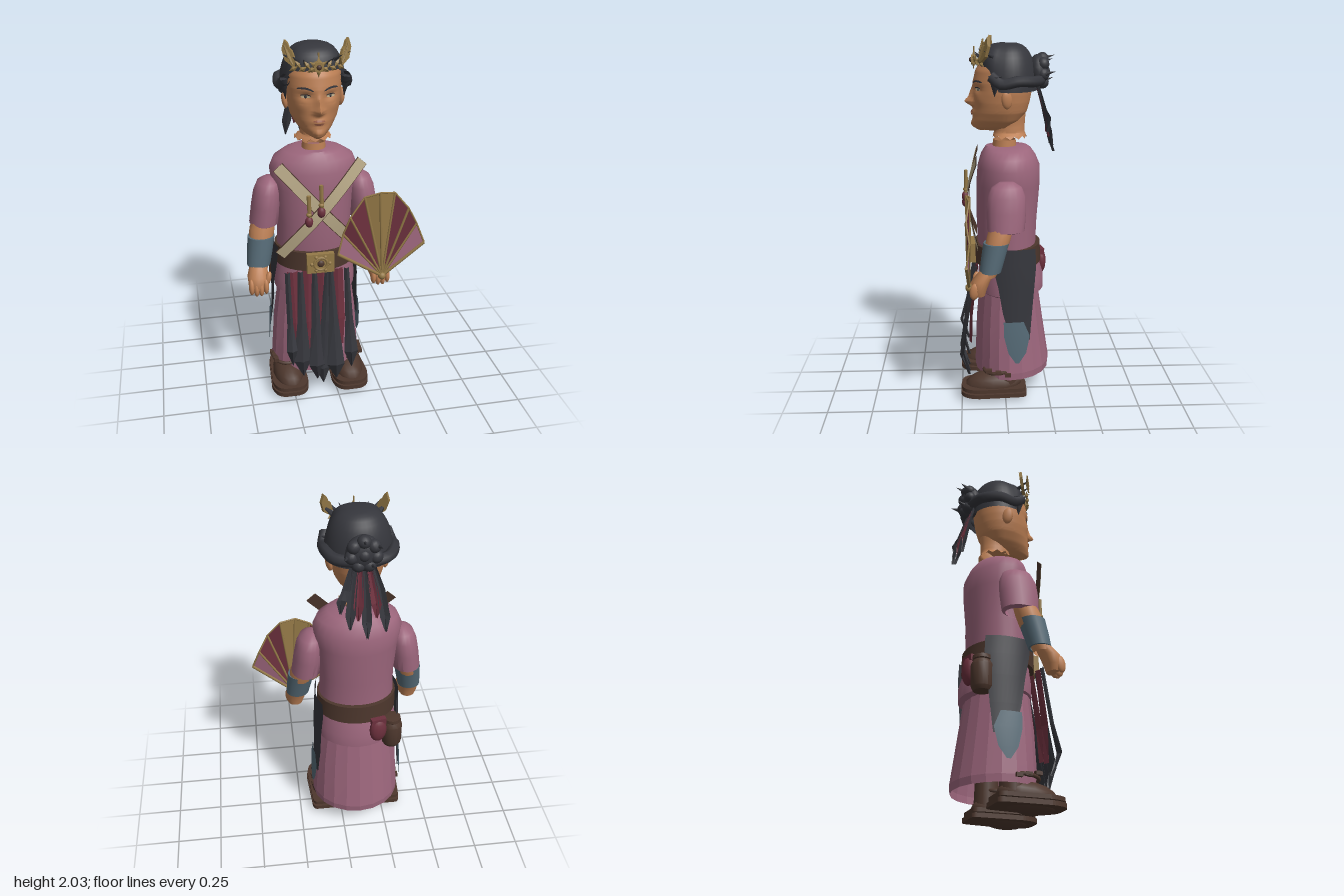
import * as THREE from 'three';
import { mergeVertices, toCreasedNormals } from 'three/addons/utils/BufferGeometryUtils.js';

const mat = (name, color) => Object.assign(new THREE.MeshStandardMaterial({ color, side: THREE.DoubleSide }), { name });
const lerp = THREE.MathUtils.lerp;

export function createModel() {
  const root = new THREE.Group();
  const body = new THREE.Group();
  body.name = 'body';
  body.position.x = -0.0925;
  root.add(body);
  const skin = mat('skin', 0xbd8055), lip = mat('lip', 0x9c5f49), dark = mat('charcoal', 0x35363c);
  const pink = mat('dustyPink', 0x9c667c), red = mat('wine', 0x6c303d), gold = mat('oldGold', 0x957a48);
  const brown = mat('leather', 0x4d372d), blue = mat('slateBlue', 0x566b77), cream = mat('cream', 0xb9aa88);

  const add = (name, geo, m, p = [0, 0, 0], r = [0, 0, 0], s = [1, 1, 1], parent = body) => {
    const o = new THREE.Mesh(geo, m);
    o.name = name;
    o.position.set(...p); o.rotation.set(...r); o.scale.set(...s);
    parent.add(o);
    return o;
  };
  // Grid surface from a function of (u, v); a small crease angle gives flat facets
  const surf = (fn, nu, nv, crease = 0.8) => {
    const pos = [], idx = [];
    for (let j = 0; j <= nv; j++) for (let i = 0; i <= nu; i++) pos.push(...fn(i / nu, j / nv));
    for (let j = 0; j < nv; j++) for (let i = 0; i < nu; i++) {
      const a = j * (nu + 1) + i, c = a + nu + 1;
      idx.push(a, a + 1, c + 1, a, c + 1, c);
    }
    const g = new THREE.BufferGeometry();
    g.setAttribute('position', new THREE.Float32BufferAttribute(pos, 3));
    g.setIndex(idx);
    return toCreasedNormals(mergeVertices(g, 1e-5), crease);
  };
  const rowAt = (rows, t) => {
    const f = Math.min(t * (rows.length - 1), rows.length - 1.0001), i = Math.floor(f);
    return rows[i].map((a, k) => lerp(a, rows[i + 1][k], f - i));
  };
  // Rings, bottom to top: [y, centreX, halfWidth, zFront, zBack, zCentre]
  const loft = (rows, n = 28, crease = 0.8) => surf((u, v) => {
    const [y, cx, rx, zf, zb, cz] = rowAt(rows, v), c = Math.cos(u * Math.PI * 2);
    return [cx + rx * Math.sin(u * Math.PI * 2), y, cz + c * (c > 0 ? zf - cz : cz - zb)];
  }, n, rows.length - 1, crease);
  const trunk = (rows, n, crease) => loft(rows.map(([y, rx, zf, zb]) => [y, 0, rx, zf, zb, -0.02]), n, crease);
  // Limb rings: [y, x, z, halfWidth, halfDepth]
  const limb = (rows, s) => loft(rows.map(([y, x, z, rx, rz]) => [y, s * x, rx, z + rz, z - rz, z]), 18, 0.9);
  // Creased cloth strip; rows bottom to top: [x, y, z, halfWidth]
  const strip = rows => surf((u, v) => {
    const [x, y, z, w] = rowAt(rows, v), k = u * 2 - 1;
    return [x + k * w, y, z - Math.abs(k) * 0.015];
  }, 2, rows.length - 1, 0.05);
  const rod = (name, a, b, r, m, parent = body) => {
    const A = new THREE.Vector3(...a), d = new THREE.Vector3(...b).sub(A);
    const o = add(name, new THREE.CylinderGeometry(r, r, d.length(), 6), m, A.clone().addScaledVector(d, 0.5).toArray(), [0, 0, 0], [1, 1, 1], parent);
    o.quaternion.setFromUnitVectors(new THREE.Vector3(0, 1, 0), d.normalize());
    return o;
  };
  const ball = new THREE.SphereGeometry(1, 14, 10), spike = new THREE.ConeGeometry(1, 1, 5);

  // Robe
  add('tunic', trunk([[0.74, 0.2, 0.13, -0.18], [0.87, 0.21, 0.15, -0.18], [1, 0.205, 0.155, -0.185], [1.2, 0.225, 0.155, -0.2],
    [1.3, 0.24, 0.147, -0.2], [1.36, 0.215, 0.13, -0.175], [1.395, 0.16, 0.11, -0.15], [1.41, 0.1, 0.1, -0.13], [1.41, 0, -0.02, -0.02]]), pink);
  add('hipWrap', trunk([[0.57, 0.2, 0.13, -0.19], [0.59, 0.228, 0.15, -0.225], [0.66, 0.23, 0.15, -0.225], [0.77, 0.21, 0.14, -0.19]]), pink);
  add('skirt', trunk([[0.1, 0.256, 0.17, -0.258], [0.14, 0.258, 0.17, -0.262], [0.4, 0.24, 0.16, -0.222], [0.62, 0.212, 0.14, -0.19]], 20, 0.1), pink);

  // Belt and buckle
  add('belt', trunk([[0.75, 0.2, 0.14, -0.18], [0.75, 0.222, 0.172, -0.208], [0.86, 0.222, 0.172, -0.205], [0.86, 0.2, 0.14, -0.17]], 32, 0.5), brown);
  add('buckle', new THREE.BoxGeometry(0.15, 0.112, 0.03), gold, [0, 0.805, 0.178]);
  add('buckleRing', new THREE.TorusGeometry(0.036, 0.008, 6, 16), gold, [0, 0.805, 0.195]);
  add('buckleStud', ball, brown, [0, 0.805, 0.194], [0, 0, 0], [0.02, 0.02, 0.012]);
  for (let i = 0; i < 6; i++) add('buckleBead', ball, gold, [0.05 * Math.cos(i * 1.047), 0.805 + 0.045 * Math.sin(i * 1.047), 0.193], [0, 0, 0], [0.01, 0.01, 0.01]);

  // Hanging front strips: [topX, bottomX, tipY, halfWidth]
  [[-0.15, -0.14, 0.25, 0.038], [-0.065, -0.08, 0.27, 0.036], [0.015, 0.02, 0.24, 0.036], [0.1, 0.1, 0.28, 0.038]].forEach(([a, b, y, w]) =>
    add('wineStrip', strip([[b, y, 0.205, w * 0.75], [lerp(a, b, 0.6), 0.45, 0.2, w], [a, 0.75, 0.165, w * 0.8]]), red));
  [[-0.18, -0.175, 0.18, 0.03], [-0.108, -0.115, 0.1, 0.048], [-0.03, -0.035, 0.07, 0.045], [0.04, 0.0, 0.04, 0.042],
    [0.06, 0.075, 0.06, 0.05], [0.15, 0.165, 0.13, 0.04]].forEach(([a, b, y, w], i) =>
    add('darkStrip', strip([[b + 0.01, y, 0.215, 0.004], [b, y + 0.12, 0.262 - (i % 2) * 0.012, w], [lerp(a, b, 0.5), 0.45, 0.222, w * 0.55], [a, 0.75, 0.172, 0.014]]), dark));

  for (const s of [1, -1]) {
    // Hip panels: rows [y, zFront, zBack, halfWidth] follow the skirt
    const hip = (rows, off) => surf((u, v) => {
      const [y, z0, z1, rx] = rowAt(rows, v), z = s > 0 ? lerp(z0, z1, u) : lerp(z1, z0, u);
      return [s * (off + rx * Math.sqrt(Math.max(0, 1 - ((z + 0.03) / 0.27) ** 2))), y, z];
    }, 8, rows.length - 1, 0.5);
    add('hipPanel', hip([[0.34, -0.03, -0.135, 0.248], [0.5, 0.015, -0.148, 0.238], [0.65, 0.04, -0.16, 0.238], [0.77, 0.07, -0.17, 0.232], [0.87, 0.08, -0.165, 0.228]], 0.008), dark);
    add('hipPanelTip', hip([[0.21, -0.055, -0.075, 0.253], [0.27, -0.015, -0.115, 0.253], [0.37, 0.01, -0.135, 0.25], [0.455, 0.012, -0.1, 0.243]], 0.014), blue);

    // Arms
    add('sleeve', limb([[0.99, 0.275, 0, 0.06, 0.08], [1.0, 0.28, 0, 0.08, 0.1], [1.1, 0.268, -0.002, 0.078, 0.106], [1.18, 0.258, -0.004, 0.073, 0.102],
      [1.23, 0.25, -0.005, 0.06, 0.08], [1.255, 0.245, -0.005, 0.025, 0.04], [1.257, 0.245, -0.005, 0, 0]], s), pink);
    add('forearm', limb([[0.76, 0.33, 0.1, 0.05, 0.045], [0.82, 0.325, 0.08, 0.055, 0.055], [0.92, 0.305, 0.05, 0.066, 0.064], [0.98, 0.295, 0.035, 0.069, 0.065], [1.04, 0.28, 0.02, 0.06, 0.06]], s), skin);
    add('bracer', limb([[0.785, 0.326, 0.085, 0.052, 0.048], [0.785, 0.326, 0.085, 0.064, 0.058], [0.85, 0.317, 0.072, 0.069, 0.064], [0.94, 0.304, 0.052, 0.074, 0.07], [0.94, 0.304, 0.052, 0.06, 0.06]], s), blue);
    add('hand', limb([[0.645, 0.338, 0.15, 0, 0], [0.655, 0.338, 0.15, 0.04, 0.035], [0.69, 0.338, 0.15, 0.054, 0.045], [0.74, 0.337, 0.135, 0.058, 0.05], [0.79, 0.332, 0.1, 0.045, 0.042]], s), skin);
    for (let i = 0; i < 4; i++) add('finger', ball, skin, [s * (0.3 + i * 0.026), 0.69 - (i === 1 || i === 2 ? 0.012 : 0), 0.172], [-0.15, 0, 0], [0.016, 0.046, 0.026]);
    add('thumb', ball, skin, [s * 0.288, 0.725, 0.16], [0, 0, s * 0.3], [0.018, 0.045, 0.022]);

    // Sandals: stacked rounded soles, upper and laces
    const x = s * 0.177, sole = new THREE.Shape();
    sole.moveTo(-0.065, -0.12).lineTo(0.065, -0.12).quadraticCurveTo(0.09, -0.12, 0.093, -0.08).lineTo(0.107, 0.15)
      .quadraticCurveTo(0.1, 0.25, 0.03, 0.255).lineTo(-0.03, 0.255).quadraticCurveTo(-0.1, 0.25, -0.107, 0.15).lineTo(-0.093, -0.08).quadraticCurveTo(-0.09, -0.12, -0.065, -0.12);
    const slab = new THREE.ExtrudeGeometry(sole, { depth: 0.024, bevelEnabled: false });
    add('sole', slab, brown, [x, 0.024, 0], [Math.PI / 2, 0, 0]);
    add('insole', slab, brown, [x, 0.052, 0.005], [Math.PI / 2, 0, 0], [0.96, 0.96, 0.9]);
    add('shoeUpper', ball, brown, [x, 0.05, 0.07], [0.1, 0, 0], [0.088, 0.08, 0.165]);
    add('ankle', new THREE.CylinderGeometry(0.06, 0.07, 0.22, 14), brown, [x, 0.16, -0.01]);
    add('lace', new THREE.TorusGeometry(0.082, 0.01, 6, 20), brown, [x, 0.145, 0.04], [Math.PI / 2 + 0.1, 0, 0]);
    for (let i = 0; i < 3; i++) add('skirtToggle', new THREE.BoxGeometry(0.025, 0.02, 0.034), brown, [s * (0.248 + i * 0.005), 0.157 - i * 0.01, 0.095 - i * 0.053]);

    // Ears
    add('ear', ball, skin, [s * 0.147, 1.675, -0.01], [0.15, s * 0.35, -s * 0.15], [0.017, 0.05, 0.03]);
    // Side hair rolls
    const roll = new THREE.CatmullRomCurve3([[0.155, 1.8, 0.075], [0.172, 1.76, 0.02], [0.172, 1.775, -0.07], [0.13, 1.77, -0.16], [0.04, 1.77, -0.2]].map(([a, b, c]) => new THREE.Vector3(s * a, b, c)));
    add('hairRoll', new THREE.TubeGeometry(roll, 16, 0.03, 7), dark);
    add('sideLock', spike, dark, [s * 0.157, 1.745, 0.055], [Math.PI, 0, s * 0.1], [0.028, 0.11, 0.04]);
    for (let i = 0; i < 3; i++) add('frontLock', spike, dark, [s * (0.06 + i * 0.04), 1.89 + i * 0.012, 0.13 - i * 0.022], [0.9, 0, -s * (0.4 + i * 0.2)], [0.02, 0.09, 0.015]);

    // Crown leaves along the forehead and upright wings
    for (let i = 0; i < 5; i++) add('crownLeaf', new THREE.OctahedronGeometry(1), gold,
      [s * (0.035 + i * 0.021), 1.862 + (i % 2) * 0.022, 0.166 - i * 0.011], [0, s * 0.5, s * (i % 2 ? 0.9 : -0.5)], [0.026, 0.013, 0.01]);
    const wing = new THREE.Shape();
    wing.moveTo(0, 0).lineTo(0.045, 0.035).lineTo(0.06, 0.09).lineTo(0.045, 0.135).lineTo(0.03, 0.12).lineTo(0.02, 0.095).lineTo(0.006, 0.08).lineTo(-0.008, 0.04);
    const blade = new THREE.ExtrudeGeometry(wing, { depth: 0.018, bevelEnabled: false });
    if (s < 0) blade.rotateY(Math.PI);
    add('crownWing', blade, gold, [s * 0.118, 1.866, 0.115], [-0.12, s * 0.5, 0]);
    for (let i = 0; i < 3; i++) rod('wingQuill', [s * (0.125 + i * 0.009), 1.885 + i * 0.016, 0.135 - i * 0.004], [s * (0.142 + i * 0.009), 1.94 + i * 0.018, 0.11], 0.005, gold);
  }

  // Neck with a narrow open seam
  const ragged = (y, d) => (u, i) => y + (i % 2 ? d : -d);
  add('neckBase', loft([[1.38, 0, 0.066, 0.065, -0.07, 0], [1.445, 0, 0.062, 0.06, -0.065, 0]], 20), skin);
  const hem = ragged(1.462, 0.008);
  add('neck', surf((u, v) => {
    const [y, rx, zf, zb] = rowAt([[1.46, 0.1, 0.062, -0.125], [1.485, 0.068, 0.055, -0.115], [1.53, 0.066, 0.06, -0.115], [1.6, 0.075, 0.07, -0.12]], v);
    const a = u * Math.PI * 2, c = Math.cos(a);
    return [rx * Math.sin(a), v === 0 ? hem(u, Math.round(u * 24)) : y, -0.03 + c * (c > 0 ? zf + 0.03 : -0.03 - zb)];
  }, 24, 9), skin);

  // Head: rows [y, halfWidth, zFront, zBack], with features raised on the front
  const headRows = [[1.497, 0.035, 0.14, 0.03], [1.515, 0.066, 0.165, -0.02], [1.55, 0.095, 0.172, -0.09], [1.6, 0.122, 0.166, -0.125], [1.65, 0.135, 0.165, -0.14],
    [1.7, 0.142, 0.166, -0.15], [1.76, 0.145, 0.168, -0.158], [1.82, 0.142, 0.155, -0.155], [1.88, 0.125, 0.12, -0.13], [1.93, 0.07, 0.06, -0.08]];
  const headRow = y => {
    let i = 0;
    while (i < headRows.length - 2 && y > headRows[i + 1][0]) i++;
    const a = headRows[i], b = headRows[i + 1], t = (y - a[0]) / (b[0] - a[0]);
    return a.map((k, n) => lerp(k, b[n], t));
  };
  const bump = (x, y, cx, cy, sx, sy) => Math.exp(-(((Math.abs(x) - cx) / sx) ** 2) - ((y - cy) / sy) ** 2);
  const features = (x, y) => 0.04 * bump(x, y, 0, 1.652, 0.017, 0.022) + 0.022 * bump(x, y, 0, 1.69, 0.014, 0.04) + 0.012 * bump(x, y, 0.022, 1.645, 0.012, 0.012)
    + 0.012 * bump(x, y, 0, 1.595, 0.035, 0.016) + 0.012 * bump(x, y, 0, 1.53, 0.03, 0.02) - 0.014 * bump(x, y, 0.062, 1.725, 0.03, 0.018) + 0.006 * bump(x, y, 0.08, 1.67, 0.03, 0.03);
  const faceZ = (x, y) => { const [, rx, zf] = headRow(y); return zf * Math.sqrt(Math.max(0, 1 - (x / rx) ** 2)) + features(x, y); };
  add('head', surf((u, v) => {
    const y = lerp(1.497, 1.93, v), [, rx, zf, zb] = headRow(y), a = u * Math.PI * 2, c = Math.cos(a), x = rx * Math.sin(a);
    return [x, y, c > 0 ? zf * c + features(x, y) : -zb * c];
  }, 72, 54, 1.2), skin);
  add('chinBase', loft([[1.496, 0, 0, 0.1, 0.1, 0.1], [1.5, 0, 0.036, 0.141, 0.02, 0.06]], 18), skin);
  // Thin painted face patches: centre, half width, half height, arch
  const patch = (name, m, cx, cy, w, h, arch, tilt = 0) => add(name, surf((u, v) => {
    const k = u * 2 - 1, x = cx + k * w, y = cy + arch * (1 - k * k) + tilt * k + (v * 2 - 1) * h * Math.sqrt(Math.max(0, 1 - k ** 4));
    return [x, y, faceZ(x, y) + 0.004];
  }, 14, 4), m);
  for (const s of [1, -1]) {
    patch('brow', dark, s * 0.066, 1.757, 0.04, 0.005, 0.01, s * 0.004);
    patch('eyeWhite', cream, s * 0.064, 1.722, 0.023, 0.006, 0.001);
    patch('lashLine', dark, s * 0.064, 1.728, 0.027, 0.003, 0.005);
    add('iris', ball, dark, [s * 0.063, 1.722, faceZ(0.063, 1.722) + 0.003], [0, s * 0.4, 0], [0.008, 0.008, 0.004]);
  }
  patch('upperLip', lip, 0, 1.599, 0.032, 0.005, 0.003);
  patch('lowerLip', lip, 0, 1.587, 0.026, 0.006, -0.003);

  // Hair cap, its edge rising over the forehead
  add('hairCap', surf((u, v) => {
    const a = u * Math.PI * 2, c = Math.cos(a), e = THREE.MathUtils.smoothstep(c, 0.3, 0.75);
    const y0 = lerp(1.715, 1.845, e), r = Math.cos(v * Math.PI / 2) ** 0.6;
    return [0.176 * r * Math.sin(a), lerp(y0, 1.965, Math.sin(v * Math.PI / 2)), -0.02 + r * c * (c > 0 ? 0.155 : 0.16)];
  }, 36, 10), dark);
  // Bun with knots, pins and trailing ribbons
  add('bun', ball, dark, [0, 1.81, -0.185], [0, 0, 0], [0.088, 0.095, 0.055]);
  for (let i = 0; i < 7; i++) {
    const a = i * Math.PI * 2 / 7, x = 0.062 * Math.sin(a), y = 1.815 + 0.065 * Math.cos(a);
    add('bunKnot', ball, dark, [x, y, -0.208], [0, 0, -a], [0.036, 0.034, 0.034]);
    if (i % 2 === 0) add('bunSpike', spike, dark, [x * 1.5, y + 0.01, -0.24], [-1.3, 0, -x * 5], [0.016, 0.07, 0.016]);
  }
  add('bunCentre', ball, dark, [0, 1.815, -0.215], [0, 0, 0], [0.034, 0.034, 0.035]);
  [[-0.085, 1.4, dark], [-0.05, 1.47, red], [-0.012, 1.37, dark], [0.022, 1.46, red], [0.055, 1.42, dark], [0.09, 1.5, dark]].forEach(([x, y, m], i) =>
    add('hairRibbon', strip([[x * 1.3, y, -0.27 + (y - 1.37) * 0.35, 0.004], [x * 1.25, y + 0.08, -0.242 + (i % 2) * 0.01, 0.026], [x, 1.62, -0.21, 0.022], [x * 0.6, 1.74, -0.175, 0.012]]), m));

  // Crown centre
  add('crownBoss', new THREE.CylinderGeometry(0.026, 0.03, 0.024, 10), gold, [0, 1.875, 0.165], [Math.PI / 2, 0, 0]);
  add('crownStone', ball, brown, [0, 1.875, 0.178], [0, 0, 0], [0.013, 0.013, 0.01]);
  for (let i = 0; i < 6; i++) add('crownPetal', spike, gold, [0.036 * Math.sin(i * 1.047), 1.875 + 0.036 * Math.cos(i * 1.047), 0.163], [0, 0, -i * 1.047], [0.014, 0.035, 0.008]);
  rod('crownPin', [0, 1.86, 0.162], [0, 1.945, 0.16], 0.004, gold);

  // Crossed chest straps: [x0, y0, x1, y1, lift]
  [[-0.215, 1.36, 0.22, 0.87, 0], [0.23, 1.37, -0.215, 0.86, 0.008]].forEach(([x0, y0, x1, y1, lift]) => {
    const l = Math.hypot(x1 - x0, y1 - y0), nx = -(y1 - y0) / l, ny = (x1 - x0) / l;
    const band = (w, d) => surf((u, v) => [lerp(x0, x1, u) + nx * w * (v * 2 - 1), lerp(y0, y1, u) + ny * w * (v * 2 - 1), 0.146 + lift + d + 0.05 * Math.sin(Math.PI * u)], 14, 1);
    add('strap', band(0.029, 0.004), cream);
    add('strapBacking', band(0.033, 0), brown);
  });
  // Tassels
  [[-0.066, 1.215, 1.075], [0.0, 1.27, 1.125]].forEach(([x, a, b]) => {
    rod('tasselCord', [x, a, 0.212], [x + 0.004, b, 0.216], 0.011, gold);
    add('tasselBead', ball, red, [x, b - 0.005, 0.218], [0, 0, 0], [0.022, 0.03, 0.02]);
    add('tasselCap', ball, gold, [x, b + 0.035, 0.216], [0, 0, 0], [0.015, 0.012, 0.015]);
  });

  // Back pouches
  const jar = new THREE.LatheGeometry([[0, -0.1], [0.045, -0.1], [0.056, -0.08], [0.058, 0.04], [0.045, 0.065], [0.05, 0.07], [0.048, 0.09], [0, 0.095]].map(p => new THREE.Vector2(...p)), 14);
  add('flask', toCreasedNormals(jar, 0.6), brown, [-0.185, 0.665, -0.175]);
  add('pouch', ball, red, [-0.1, 0.7, -0.215], [0, 0.2, 0], [0.05, 0.078, 0.034]);
  add('pouchFlap', new THREE.BoxGeometry(0.085, 0.035, 0.03), red, [-0.1, 0.765, -0.215], [0, 0.2, 0]);

  // Folding fan
  const fan = new THREE.Group();
  fan.name = 'fan';
  root.add(fan);
  const pivot = [0.25, 0.7, 0.2];
  const rim = [[0, 0.86], [0.03, 0.97], [0.065, 1.07], [0.145, 1.175], [0.225, 1.2], [0.31, 1.19], [0.385, 1.1], [0.438, 1], [0.48, 0.89]]
    .map(([x, y], i) => [x, y, 0.203 + (i % 2 ? -0.008 : 0.008)]);
  [pink, red, red, gold, gold, red, red, pink].forEach((m, i) => add('fanLeaf', surf((u, v) =>
    pivot.map((p, k) => lerp(p, lerp(rim[i + 1][k], rim[i][k], 1 - u), lerp(0.05, 1, v))), 1, 1), m, undefined, undefined, undefined, fan));
  rim.forEach((p, i) => {
    rod('fanRib', pivot, p, i % 8 ? 0.007 : 0.009, gold, fan);
    if (i) rod('fanRim', rim[i - 1], p, 0.005, gold, fan);
  });
  add('fanPivot', ball, gold, pivot, [0, 0, 0], [0.022, 0.022, 0.022], fan);
  return root;
}
